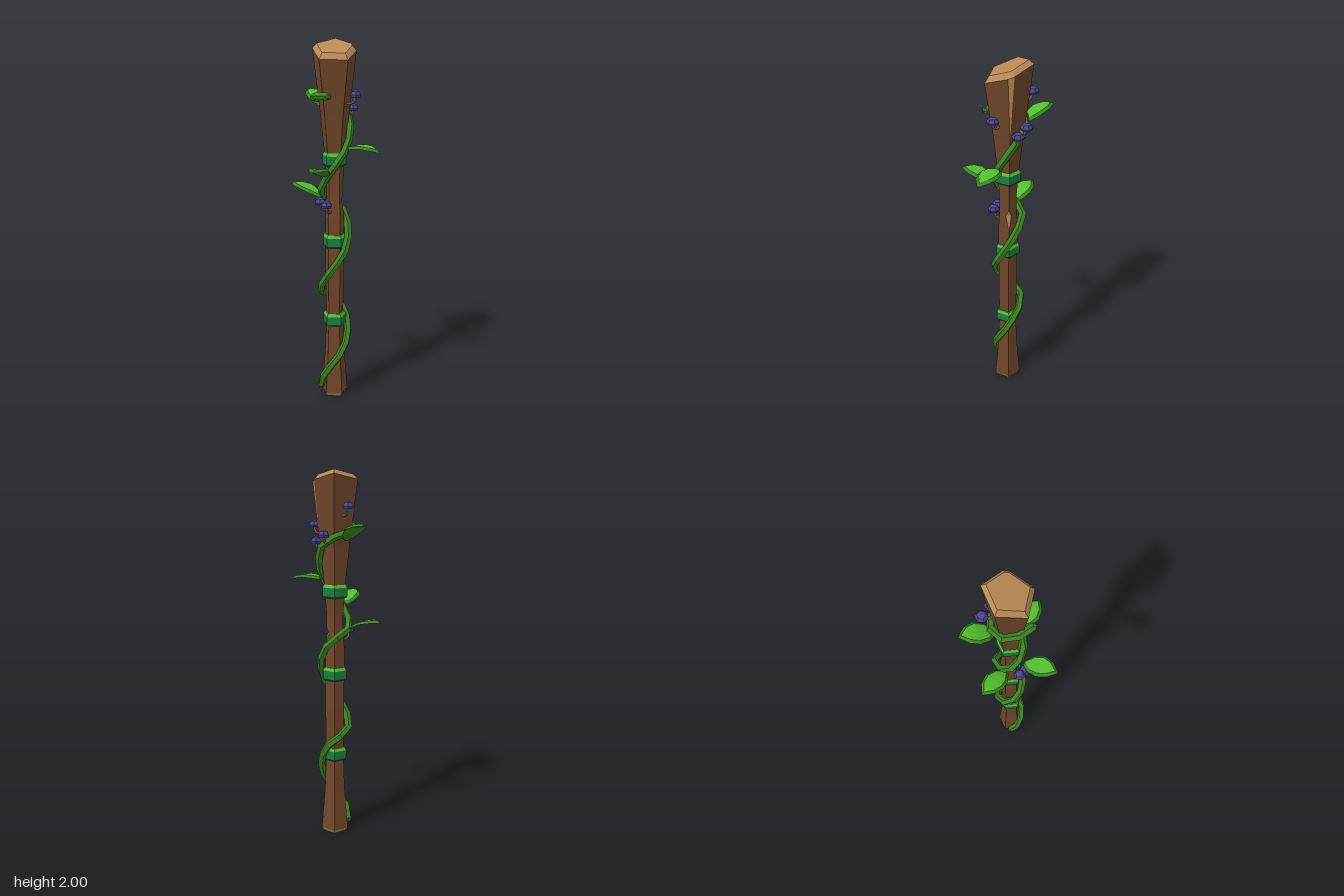
import * as THREE from 'three';

const mat = (name, color) => {
  const m = new THREE.MeshStandardMaterial({ color });
  m.name = name;
  return m;
};
const V = (x, y, z) => new THREE.Vector3(x, y, z);
const AXIS_Z = -0.022;

// Faceted skin over matching rings; pick(row, column) chooses the material index.
// Row -1 is the first cap and row rings.length - 1 the last cap.
function loft(name, rings, mats, pick = () => 0) {
  const buckets = mats.map(() => []);
  const tri = (k, a, b, c) => {
    const area = b.clone().sub(a).cross(c.clone().sub(a)).length();
    if (area > 1e-8) buckets[k].push(...a, ...b, ...c);
  };
  const n = rings[0].length, last = rings.length - 1;
  for (let i = 0; i < last; i++) {
    for (let j = 0; j < n; j++) {
      const a = rings[i][j], b = rings[i][(j + 1) % n];
      const c = rings[i + 1][(j + 1) % n], d = rings[i + 1][j];
      tri(pick(i, j), a, b, c);
      tri(pick(i, j), a, c, d);
    }
  }
  for (let j = 1; j < n - 1; j++) {
    tri(pick(-1, j), rings[0][0], rings[0][j + 1], rings[0][j]);
    tri(pick(last, j), rings[last][0], rings[last][j], rings[last][j + 1]);
  }
  const geo = new THREE.BufferGeometry();
  geo.setAttribute('position', new THREE.Float32BufferAttribute(buckets.flat(), 3));
  let start = 0;
  buckets.forEach((b, k) => {
    geo.addGroup(start, b.length / 3, k);
    start += b.length / 3;
  });
  geo.computeVertexNormals();
  const mesh = new THREE.Mesh(geo, mats);
  mesh.name = name;
  return mesh;
}

function faceted(name, geometry, material) {
  const geo = geometry.index ? geometry.toNonIndexed() : geometry;
  geo.computeVertexNormals();
  const mesh = new THREE.Mesh(geo, material);
  mesh.name = name;
  return mesh;
}

// Five-sided section whose left corner is cut back by "chip"; slope tilts it along z
function section(y, r, chip = 0, slope = 0) {
  const p = [];
  for (let k = 0; k < 5; k++) {
    const a = (36 + 72 * k) * Math.PI / 180 - 0.06;
    const z = AXIS_Z + r * Math.cos(a);
    p.push(V(r * Math.sin(a), y - slope * z, z));
  }
  const toward = (q) => p[1].clone().add(q.clone().sub(p[1]).setLength(chip));
  return [p[0], toward(p[0]), toward(p[2]), p[2], p[3], p[4]];
}

// Pointed, arched leaf with a bevelled rim
function leaf(name, base, tip, arch, mats) {
  const d = tip.clone().sub(base).setY(0).normalize();
  const side = V(-d.z, 0, d.x);
  const at = (t, w, lift) => {
    const p = base.clone().lerp(tip, t).addScaledVector(side, w);
    p.y += arch * Math.sin(Math.PI * t) + lift;
    return p;
  };
  const widths = [[0, 0.014], [0.22, 0.048], [0.48, 0.06], [0.76, 0.043], [1, 0.001]];
  const rings = widths.map(([t, w]) => {
    const u = 0.07 + 0.83 * t;
    return [at(t, -w, 0), at(u, -w * 0.75, 0.013), at(u, w * 0.75, 0.013), at(t, w, 0)];
  });
  return loft(name, rings, mats, (i, j) => (j === 1 && i >= 0 && i < 4 ? 1 : 0));
}

// Faceted cap on a stem that bends back into the wood
function mushroom(x, y, z, capMat, stemMat) {
  const g = new THREE.Group();
  g.name = 'mushroom';
  const rings = [[-0.012, 0.028], [0, 0.033], [0.018, 0.022], [0.026, 0.002]].map(([h, r]) =>
    Array.from({ length: 6 }, (_, k) => {
      const a = k * Math.PI / 3;
      return V(x + r * Math.sin(a), y + h, z + r * Math.cos(a));
    }));
  g.add(loft('mushroomCap', rings, [capMat]));
  const inward = V(-x, 0, AXIS_Z - z).setLength(0.05);
  const curve = new THREE.QuadraticBezierCurve3(
    V(x, y - 0.005, z), V(x, y - 0.055, z), V(x + inward.x, y - 0.045, z + inward.z));
  g.add(faceted('mushroomStem', new THREE.TubeGeometry(curve, 4, 0.007, 5), stemMat));
  return g;
}

export function createModel() {
  const wood = mat('bark brown', 0x6f462a);
  const cutWood = mat('cut wood', 0xb98a55);
  const bandGreen = mat('band green', 0x1c7d42);
  const vineGreen = mat('vine green', 0x3a8423);
  const leafGreen = mat('leaf green', 0x52c02e);
  const purple = mat('cap purple', 0x4b4390);
  const stemTan = mat('stem grey', 0x81706c);
  const model = new THREE.Group();
  model.name = 'vineStaff';

  // Staff: height, radius, corner chip, slope
  const rows = [
    [0, 0.064], [0.02, 0.077], [0.25, 0.058], [0.46, 0.05], [0.72, 0.054], [0.9, 0.054],
    [1.05, 0.055], [1.14, 0.049, 0.019], [1.175, 0.047], [1.24, 0.047], [1.4, 0.059],
    [1.6, 0.081], [1.925, 0.127, 0.02, 0.37], [1.953, 0.102, 0.014, 0.39],
  ];
  model.add(loft('staff', rows.map((r) => section(...r)), [wood, cutWood],
    (i, j) => (i < 1 || i >= rows.length - 2 || j === 1 ? 1 : 0)));

  // Bands round the staff
  for (const [y, r] of [[0.46, 0.067], [0.915, 0.067], [1.368, 0.07]]) {
    const rings = [section(y - 0.036, r - 0.008), section(y - 0.028, r),
      section(y + 0.02, r), section(y + 0.036, r - 0.009)];
    model.add(loft('band', rings, [bandGreen, leafGreen], (i) => (i >= 2 ? 1 : 0)));
  }

  // Climbing vine: heights at eighth turns, starting from the front
  const steps = [0.22, 0.30, 0.40, 0.50, 0.56, 0.59, 0.63, 0.70];
  const path = [V(-0.075, 0.055, -0.01), V(-0.058, 0.14, 0.035)];
  for (let k = 0; k < 20; k++) {
    const a = k * Math.PI / 4;
    const y = steps[k % 8] + 0.56 * Math.floor(k / 8);
    const r = 0.077 + Math.max(0, y - 1.45) * 0.1;
    path.push(V(r * Math.sin(a), y, -0.027 + r * Math.cos(a)));
  }
  path.push(V(-0.02, 1.67, -0.115), V(-0.095, 1.69, -0.075), V(-0.112, 1.70, -0.01),
    V(-0.08, 1.71, 0.055), V(-0.035, 1.71, 0.095));
  const vineCurve = new THREE.CatmullRomCurve3(path, false, 'centripetal');
  model.add(faceted('vine', new THREE.TubeGeometry(vineCurve, 30, 0.021, 5), vineGreen));
  for (const p of [path[0], path[path.length - 1]]) {
    const end = faceted('vineEnd', new THREE.IcosahedronGeometry(0.021, 0), vineGreen);
    end.position.copy(p);
    model.add(end);
  }

  // Leaves: base, tip, arch
  const leaves = [
    [V(-0.06, 1.64, -0.085), V(-0.142, 1.72, -0.24), 0.02],
    [V(-0.075, 1.155, -0.03), V(-0.24, 1.21, -0.135), 0.02],
    [V(0.07, 1.425, 0.015), V(0.24, 1.415, 0.1), 0.018],
    [V(-0.06, 1.285, 0.06), V(-0.11, 1.335, 0.24), 0.02],
  ];
  for (const [b, t, arch] of leaves) model.add(leaf('leaf', b, t, arch, [vineGreen, leafGreen]));

  // Mushrooms
  const spots = [
    [0.11, 1.715, 0.04], [0.1, 1.635, -0.085], [0.06, 1.67, -0.122],
    [-0.065, 1.815, -0.138], [-0.078, 1.143, 0.04], [-0.045, 1.128, 0.06],
  ];
  for (const s of spots) model.add(mushroom(...s, purple, stemTan));

  return model;
}
